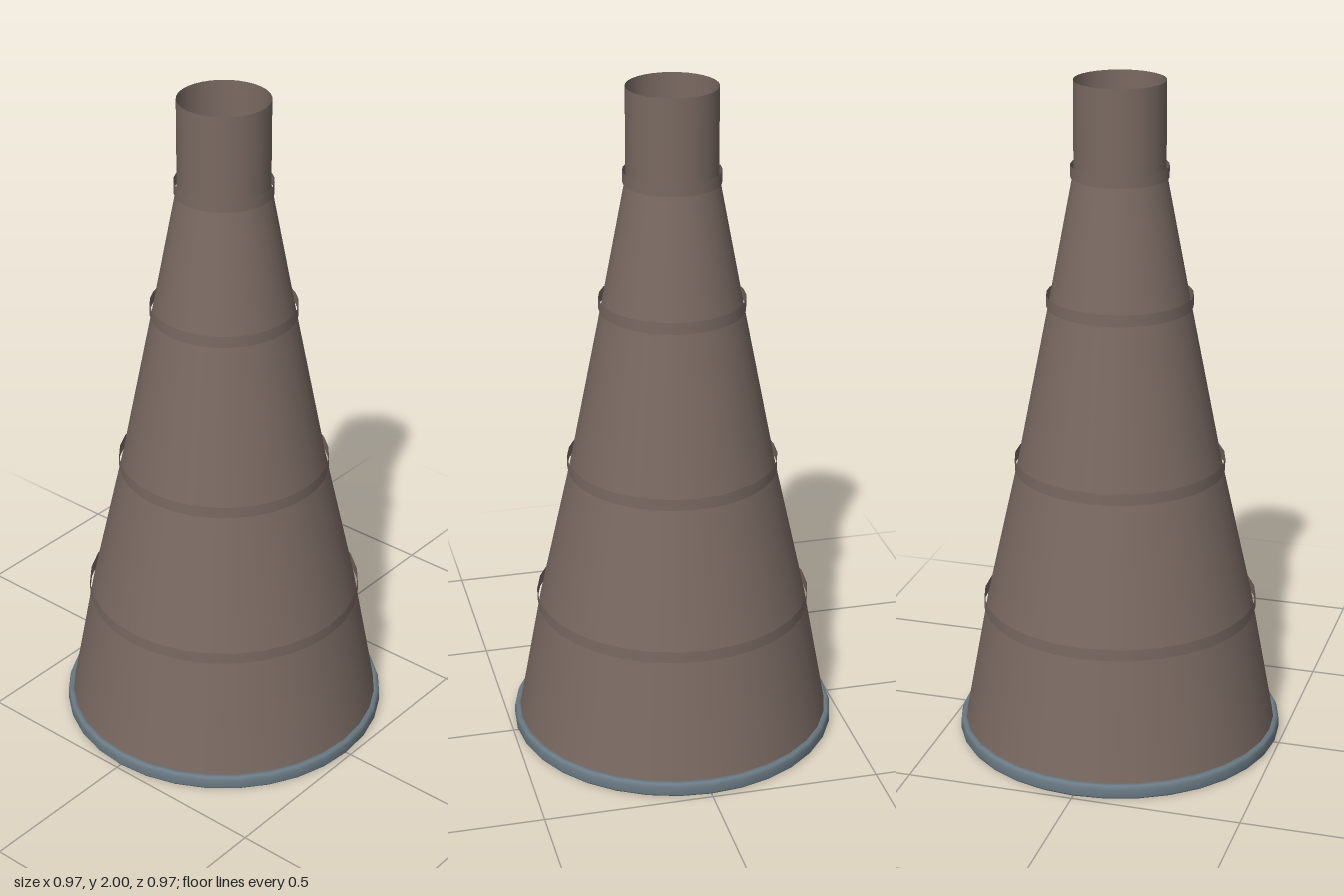
import * as THREE from 'three';

const SIDES = 32;

export function createModel() {
  const group = new THREE.Group();
  const brown = new THREE.MeshStandardMaterial({ name: 'weathered brown', color: 0x7a6a62, side: THREE.DoubleSide });
  const steel = new THREE.MeshStandardMaterial({ name: 'blue grey steel', color: 0x6c7c86, side: THREE.DoubleSide });
  const soot = new THREE.MeshStandardMaterial({ name: 'soot black', color: 0x222222 });

  const add = (name, geometry, material, y = 0) => {
    const mesh = new THREE.Mesh(geometry, material);
    mesh.name = name;
    mesh.position.y = y;
    group.add(mesh);
    return mesh;
  };

  // Open tapering wall sections: [radius, height] at each joint
  const joints = [[0.477, 0], [0.4, 0.42], [0.302, 0.86], [0.204, 1.36], [0.132, 1.74], [0.132, 2]];
  for (let i = 0; i < joints.length - 1; i++) {
    const [r0, y0] = joints[i];
    const [r1, y1] = joints[i + 1];
    add(`wallSection${i + 1}`, new THREE.CylinderGeometry(r1, r0, y1 - y0, SIDES, 1, true), brown, (y0 + y1) / 2);
  }

  // Thin straight bands over the joints
  for (const [r, y] of joints.slice(1, 5)) {
    add('jointBand', new THREE.CylinderGeometry(r + 0.009, r + 0.009, 0.035, SIDES, 1, true), brown, y);
  }

  // Rounded steel hoop around the foot
  const hoop = [[0.466, 0.034], [0.466, 0.006], [0.472, 0], [0.483, 0], [0.487, 0.006], [0.487, 0.03], [0.483, 0.041], [0.473, 0.044], [0.466, 0.034]]
    .map(([x, y]) => new THREE.Vector2(x, y));
  add('baseRim', new THREE.LatheGeometry(hoop, SIDES), steel);

  // Dark disc down inside the neck, leaving a narrow gap to the wall
  add('flueDisc', new THREE.CircleGeometry(0.125, SIDES), soot, 1.82).rotation.x = -Math.PI / 2;

  return group;
}
